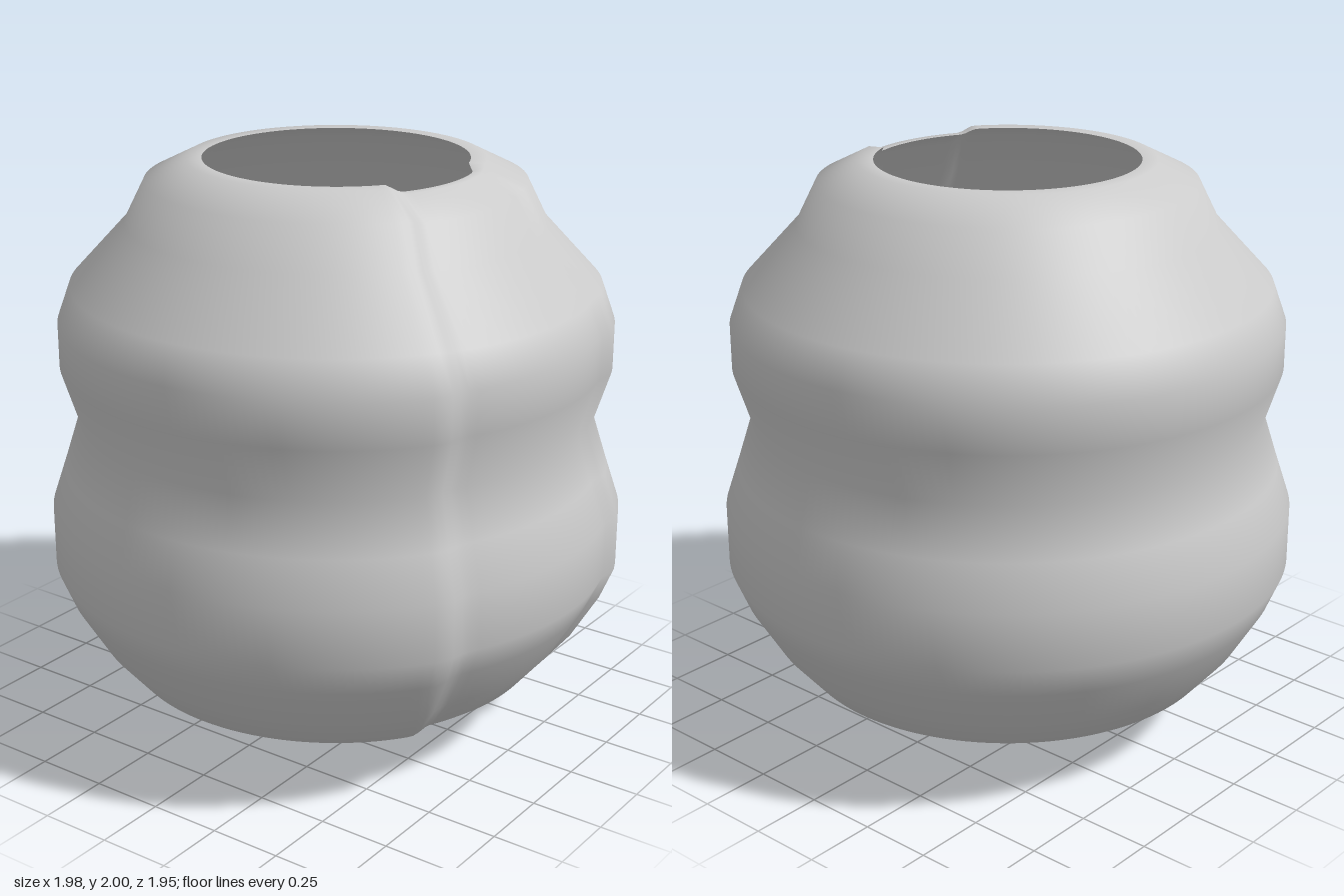
import * as THREE from 'three';
import { mergeVertices } from 'three/addons/utils/BufferGeometryUtils.js';

const material = new THREE.MeshStandardMaterial({ color: 0xcccccc, side: THREE.DoubleSide });
const CENTRE_Z = 0.012;

// Wall rows, bottom to top: radius, height, and how far the front panel is shifted (radius, height)
const WALL = [
  [0.67, 0.18, 0, 0.02], [0.7, 0.18, -0.01, 0.02], [0.745, 0.205, -0.02, 0.02],
  [0.85, 0.33, -0.026, 0.015], [0.945, 0.49, -0.03, 0.01], [0.99, 0.6, -0.03, 0],
  [0.99, 0.8, -0.03, 0], [0.94, 0.95, -0.03, 0], [0.886, 1.12, -0.026, 0],
  [0.945, 1.31, -0.03, 0], [0.945, 1.46, -0.03, 0], [0.9, 1.585, -0.026, -0.01],
  [0.71, 1.79, -0.022, -0.016], [0.64, 1.93, -0.02, -0.018], [0.5, 2, 0, -0.022],
  [0.447, 2, 0.022, -0.022],
];

// Underside bowl, from its tip outwards
const BOWL = [[0, 0], [0.1, 0.013], [0.22, 0.03], [0.34, 0.048], [0.46, 0.083], [0.56, 0.125], [0.65, 0.18], [0.67, 0.2]];

function revolve(rows, segments) {
  const points = rows.map(([r, y]) => new THREE.Vector2(r, y));
  const geometry = new THREE.LatheGeometry(points, segments, Math.PI);
  geometry.deleteAttribute('uv');
  geometry.deleteAttribute('normal');
  return geometry;
}

// Weld the seam so that the shading runs smoothly all round
function finish(geometry, name) {
  const welded = mergeVertices(geometry, 1e-4);
  welded.computeVertexNormals();
  const mesh = new THREE.Mesh(welded, material);
  mesh.name = name;
  mesh.position.z = CENTRE_Z;
  return mesh;
}

// 1 inside the front panel, 0 outside, with a soft ramp at both edges
function panelWeight(angle) {
  const deg = THREE.MathUtils.radToDeg(angle);
  return THREE.MathUtils.smoothstep(deg, -35, -28) * (1 - THREE.MathUtils.smoothstep(deg, 17, 22));
}

function makeWall() {
  const segments = 180;
  const geometry = revolve(WALL, segments);
  const pos = geometry.attributes.position;
  for (let i = 0; i < pos.count; i++) {
    const [r, y, dr, dy] = WALL[i % WALL.length];
    const angle = Math.atan2(pos.getX(i), pos.getZ(i));
    const w = panelWeight(angle);
    const radius = r + dr * w;
    pos.setXYZ(i, radius * Math.sin(angle), y + dy * w, radius * Math.cos(angle));
  }
  return finish(geometry, 'bulgingWall');
}

export function createModel() {
  const model = new THREE.Group();
  model.name = 'openVessel';
  model.add(makeWall());
  model.add(finish(revolve(BOWL, 96), 'bottomBowl'));
  return model;
}
